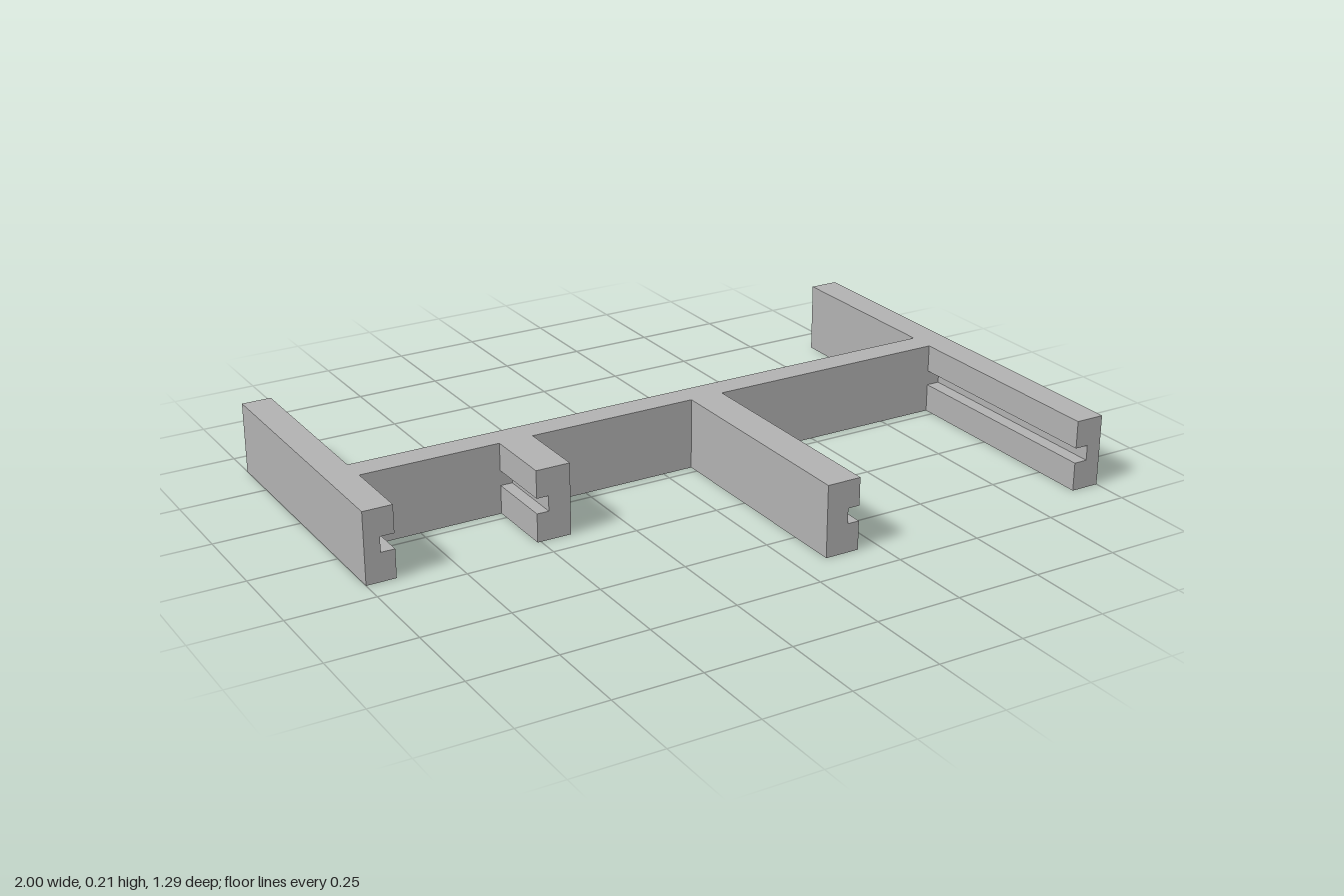
import * as THREE from 'three';

const HEIGHT = 0.207;
const GROOVE_LOW = 0.083, GROOVE_HIGH = 0.127;
const BAR_BACK = -0.107, BAR_FRONT = -0.03;
const BACK = -0.645, FRONT = 0.645, SHORT_FRONT = 0.18;

export function createModel() {
  const model = new THREE.Group();
  model.name = 'slottedFrame';
  const grey = new THREE.MeshStandardMaterial({ color: 0xb2b2b2 });
  grey.name = 'grey';

  const add = (name, geometry, parent = model) => {
    const mesh = new THREE.Mesh(geometry, grey);
    mesh.name = name;
    parent.add(mesh);
    return mesh;
  };

  // Solid block standing on the ground between two corners
  const block = (name, x0, x1, z0, z1, parent) =>
    add(name, new THREE.BoxGeometry(x1 - x0, HEIGHT, z1 - z0), parent)
      .position.set((x0 + x1) / 2, HEIGHT / 2, (z0 + z1) / 2);

  // Arm reaching forward from the crossbar, grooved along its side at x = open
  const groovedArm = (name, solid, open, depthX, front, parent) => {
    const points = [
      [solid, 0], [open, 0], [open, GROOVE_LOW], [depthX, GROOVE_LOW],
      [depthX, GROOVE_HIGH], [open, GROOVE_HIGH], [open, HEIGHT], [solid, HEIGHT],
    ].map(([x, y]) => new THREE.Vector2(x, y));
    const geometry = new THREE.ExtrudeGeometry(new THREE.Shape(points), {
      depth: front - BAR_FRONT, bevelEnabled: false,
    });
    geometry.translate(0, 0, BAR_FRONT);
    add(name, geometry, parent);
  };

  // Side rails: solid behind the crossbar, grooved on the inner face in front
  for (const [name, side, front] of [['rightRail', -1, SHORT_FRONT], ['leftRail', 1, FRONT]]) {
    const rail = new THREE.Group();
    rail.name = name;
    model.add(rail);
    const inner = side * 0.915, outer = side;
    block('railBack', Math.min(inner, outer), Math.max(inner, outer), BACK, BAR_FRONT, rail);
    groovedArm('railFront', outer, inner, side * 0.955, front, rail);
  }

  // Crossbar joining the rails
  block('crossbar', -0.915, 0.915, BAR_BACK, BAR_FRONT);

  // Inner arms, each grooved towards the rail it faces
  groovedArm('shortArm', -0.41, -0.51, -0.475, SHORT_FRONT);
  groovedArm('longArm', 0.09, 0.19, 0.155, FRONT);

  return model;
}
